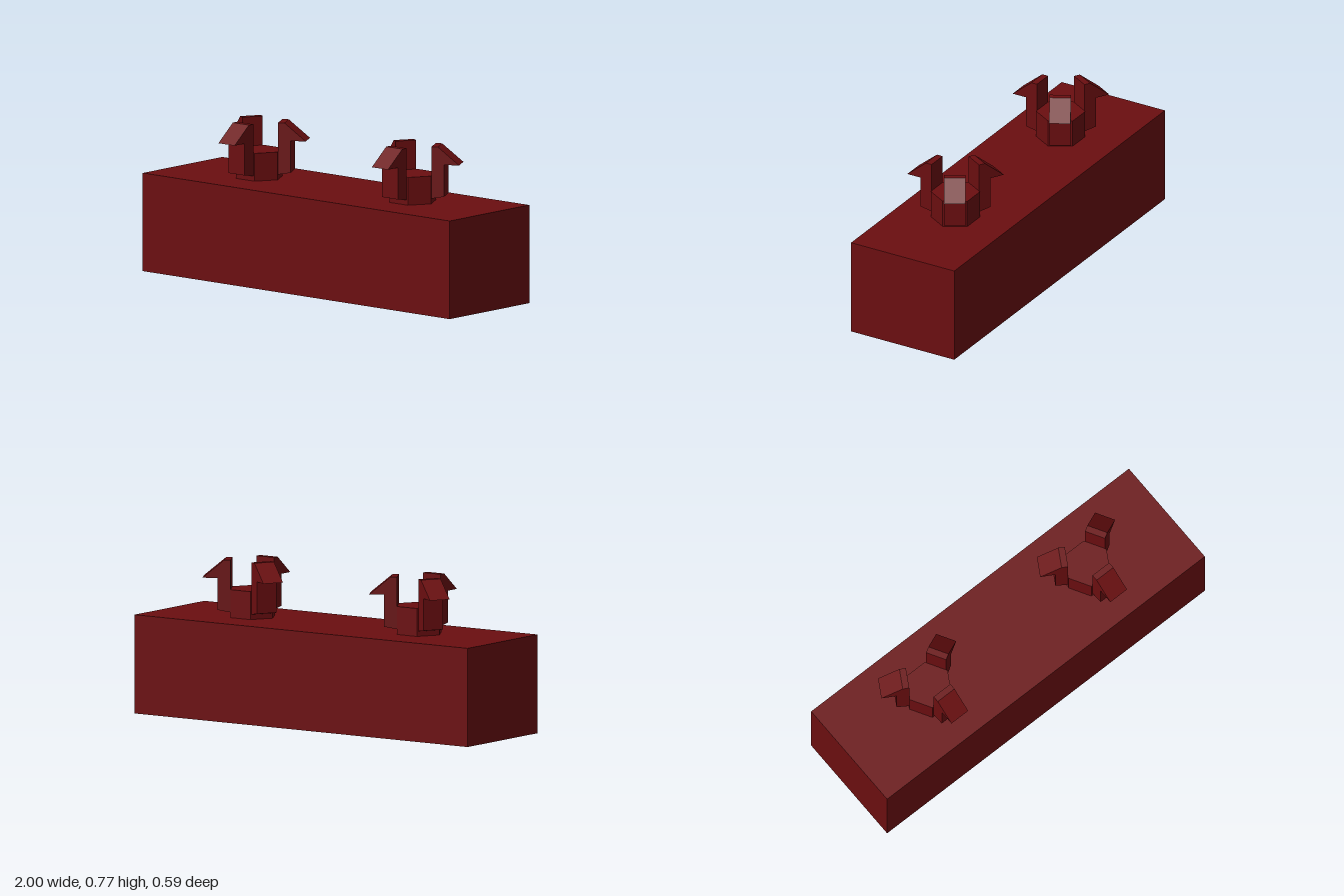
import * as THREE from 'three';

const LENGTH = 2, DEPTH = 0.588, TOP = 0.487;
const SOCKET_DEPTH = 0.107, SOCKET_RADIUS = 0.213;
const CORE_RADIUS = 0.12, CORE_TOP = 0.625, ARM_WIDTH = 0.105;
const STUD_X = [-0.5, 0.5];

const darkRed = new THREE.MeshStandardMaterial({ color: 0x6b0e10 });
darkRed.name = 'dark red';

function addMesh(parent, name, geometry) {
  const mesh = new THREE.Mesh(geometry, darkRed);
  mesh.name = name;
  parent.add(mesh);
  return mesh;
}

// Regular hexagon with corners on the x axis
function hexagon(cx, radius) {
  const points = [];
  for (let i = 0; i < 6; i++) {
    const a = (i * Math.PI) / 3;
    points.push(new THREE.Vector2(cx + radius * Math.cos(a), radius * Math.sin(a)));
  }
  return points;
}

function extrude(shape, depth) {
  return new THREE.ExtrudeGeometry(shape, { depth, bevelEnabled: false });
}

// Hooked arm: profile runs outward (x) and up (y), then turns to face +z
function armGeometry() {
  const inner = CORE_RADIUS * Math.cos(Math.PI / 6);
  const profile = [
    [inner, 0.512], [0.167, 0.523], [0.167, 0.681], [0.242, 0.681],
    [0.136, 0.769], [inner, 0.769],
  ].map(([x, y]) => new THREE.Vector2(x, y));
  return extrude(new THREE.Shape(profile), ARM_WIDTH)
    .translate(0, 0, -ARM_WIDTH / 2)
    .rotateY(-Math.PI / 2);
}

export function createModel() {
  const model = new THREE.Group();
  model.name = 'connectorBlock';

  // Lower slab with two hexagonal sockets
  const outline = new THREE.Shape([
    new THREE.Vector2(-LENGTH / 2, -DEPTH / 2), new THREE.Vector2(LENGTH / 2, -DEPTH / 2),
    new THREE.Vector2(LENGTH / 2, DEPTH / 2), new THREE.Vector2(-LENGTH / 2, DEPTH / 2),
  ]);
  for (const x of STUD_X) outline.holes.push(new THREE.Path(hexagon(x, SOCKET_RADIUS)));
  addMesh(model, 'socketBase', extrude(outline, SOCKET_DEPTH).rotateX(-Math.PI / 2));

  // Solid body above the sockets
  const bodyHeight = TOP - SOCKET_DEPTH;
  addMesh(model, 'body', new THREE.BoxGeometry(LENGTH, bodyHeight, DEPTH))
    .position.y = SOCKET_DEPTH + bodyHeight / 2;

  // Two studs, each a hexagonal core with three hooked arms
  const coreShape = new THREE.Shape(hexagon(0, CORE_RADIUS));
  const core = extrude(coreShape, CORE_TOP - TOP).rotateX(-Math.PI / 2).translate(0, TOP, 0);
  const arm = armGeometry();
  for (const x of STUD_X) {
    const stud = new THREE.Group();
    stud.name = x > 0 ? 'leftStud' : 'rightStud';
    stud.position.x = x;
    addMesh(stud, 'studCore', core);
    for (let i = 0; i < 3; i++) {
      addMesh(stud, 'hookArm', arm).rotation.y = (i * 2 * Math.PI) / 3;
    }
    model.add(stud);
  }
  return model;
}
